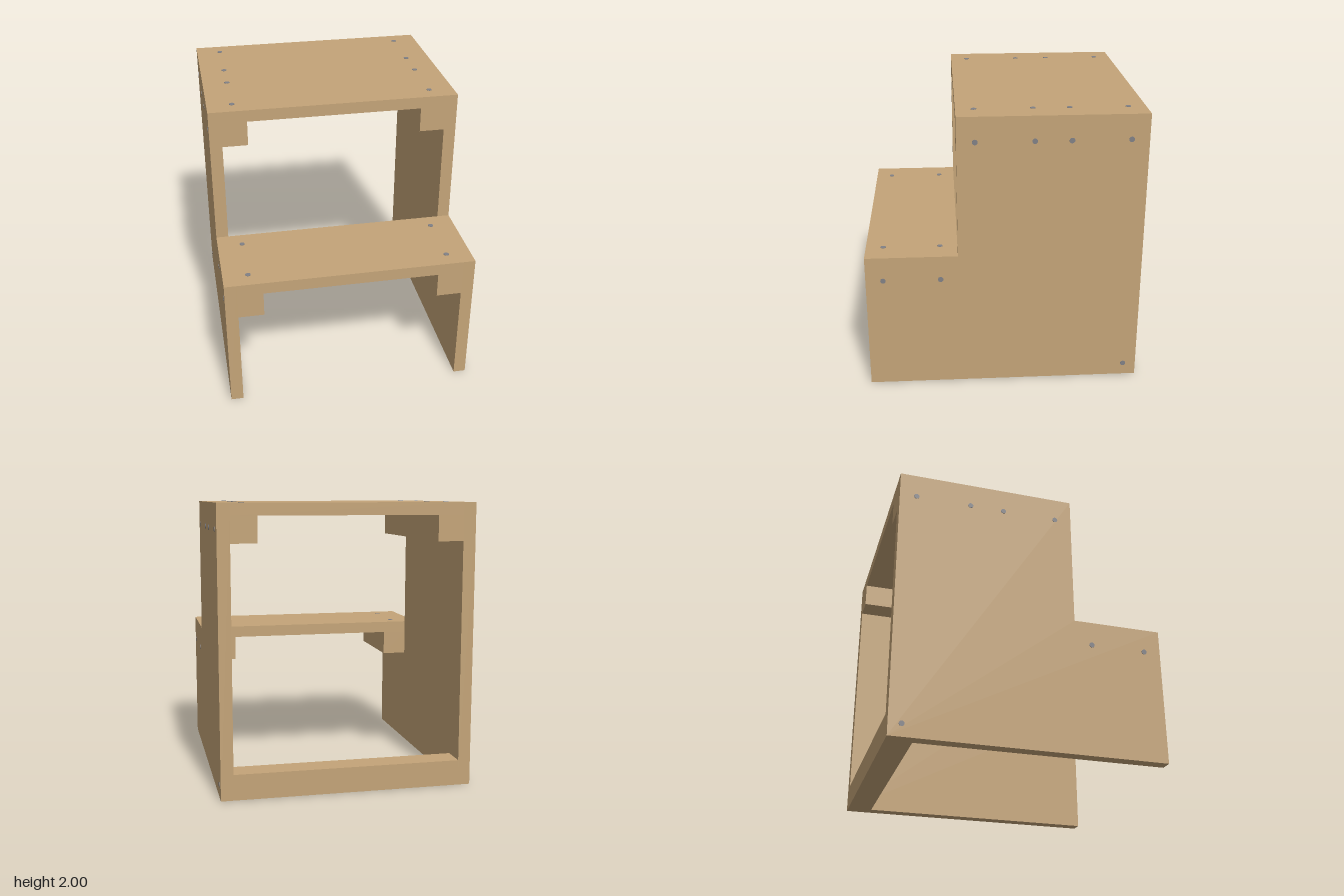
import * as THREE from 'three';

export function createModel() {
  const group = new THREE.Group();
  const wood = new THREE.MeshStandardMaterial({ color: 0xc4a478 });
  const steel = new THREE.MeshStandardMaterial({ color: 0x808085 });

  const W = 0.89, IN = 0.802;            // outer and inner half widths
  const BACK = -0.967, STEP = 0.322, FRONT = 0.967;
  const BOARD = 0.085, BAR = 0.18;       // board thickness, square batten size

  function add(name, geometry, material) {
    const mesh = new THREE.Mesh(geometry, material);
    mesh.name = name;
    group.add(mesh);
    return mesh;
  }

  // Box given by its minimum and maximum corners
  function board(name, x0, x1, y0, y1, z0, z1) {
    add(name, new THREE.BoxGeometry(x1 - x0, y1 - y0, z1 - z0), wood)
      .position.set((x0 + x1) / 2, (y0 + y1) / 2, (z0 + z1) / 2);
  }

  // Thin round screw head lying on a surface
  function screw(x, y, z, sideways) {
    const head = add('screwHead', new THREE.CylinderGeometry(0.019, 0.019, 0.006, 20), steel);
    head.position.set(x, y, z);
    if (sideways) head.rotation.z = Math.PI / 2;
  }

  // Stepped side panels
  const profile = new THREE.Shape([
    [BACK, 0], [FRONT, 0], [FRONT, 1], [STEP, 1], [STEP, 2], [BACK, 2],
  ].map(([z, y]) => new THREE.Vector2(z, y)));
  const panel = new THREE.ExtrudeGeometry(profile, { depth: W - IN, bevelEnabled: false });
  panel.rotateY(-Math.PI / 2);
  add('leftSidePanel', panel, wood).position.x = W;
  add('rightSidePanel', panel, wood).position.x = -IN;

  // Treads with a batten under each end, fixed by screws from above and the sides
  const treads = [
    { name: 'lowerTread', top: 1, z0: STEP, z1: FRONT, screws: [0.445, 0.845] },
    { name: 'upperTread', top: 2, z0: BACK, z1: STEP, screws: [-0.845, -0.447, -0.2, 0.198] },
  ];
  for (const { name, top, z0, z1, screws } of treads) {
    const under = top - BOARD;
    board(name, -IN, IN, under, top, z0, z1);
    board('leftBatten', IN - BAR, IN, under - BAR, under, z0, z1);
    board('rightBatten', -IN, BAR - IN, under - BAR, under, z0, z1);
    for (const side of [-1, 1]) {
      for (const z of screws) {
        screw(side * (IN - BAR / 2), top, z, false);
        screw(side * W, under - BAR / 2, z, true);
      }
    }
  }

  // Floor rail across the back
  board('backRail', -IN, IN, 0, BAR, BACK, BACK + BAR);
  for (const side of [-1, 1]) screw(side * W, BAR / 2, BACK + BAR / 2, true);

  return group;
}
